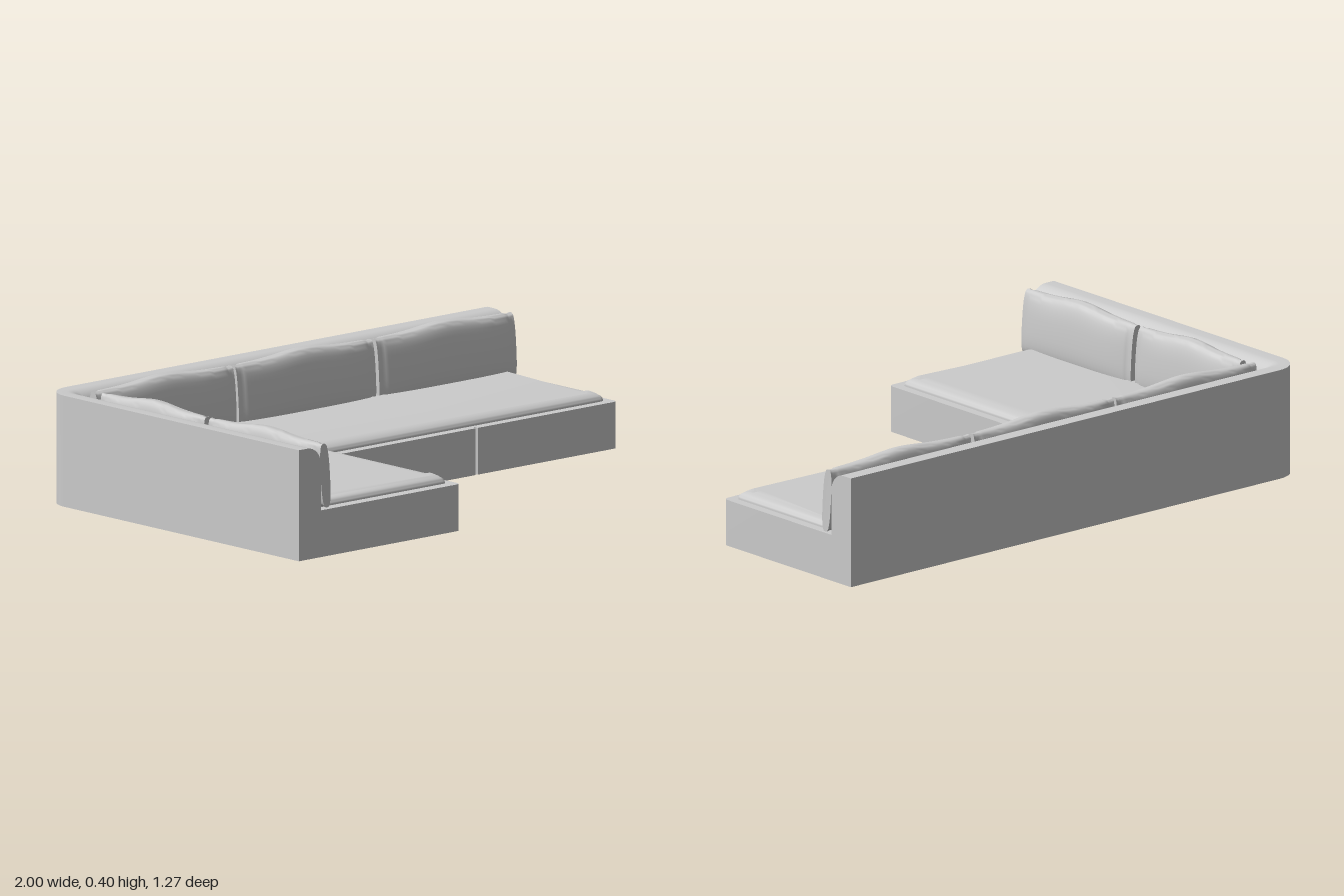
import * as THREE from 'three';
import { toCreasedNormals } from 'three/addons/utils/BufferGeometryUtils.js';

const material = new THREE.MeshStandardMaterial({ color: 0xcccccc, side: THREE.DoubleSide });

function add(parent, name, geometry, crease = 0.6) {
  const mesh = new THREE.Mesh(toCreasedNormals(geometry, crease), material);
  mesh.name = name;
  parent.add(mesh);
  return mesh;
}

// Surface through rows of points, all rows having the same count
function sheet(rows) {
  const n = rows[0].length, index = [];
  for (let i = 0; i < rows.length - 1; i++) {
    for (let j = 0; j < n - 1; j++) {
      const a = i * n + j, b = a + n;
      index.push(a, a + 1, b, b, a + 1, b + 1);
    }
  }
  const geometry = new THREE.BufferGeometry();
  geometry.setAttribute('position', new THREE.Float32BufferAttribute(rows.flat(2), 3));
  geometry.setIndex(index);
  return geometry;
}

// Plan outline (x, z) with rounded corners; each corner is [x, z, radius]
function roundedPlan(corners) {
  const shape = new THREE.Shape();
  corners.forEach(([x, z, r = 0], i) => {
    const p = new THREE.Vector2(x, z);
    const toward = ([qx, qz]) => new THREE.Vector2(qx, qz).sub(p).setLength(r).add(p);
    const a = toward(corners[(i + corners.length - 1) % corners.length]);
    const b = toward(corners[(i + 1) % corners.length]);
    if (i) shape.lineTo(a.x, a.y); else shape.moveTo(a.x, a.y);
    if (r) shape.quadraticCurveTo(x, z, b.x, b.y);
  });
  shape.closePath();
  return shape;
}

// Plump back pillow along x, leaning back a little, with pinched, corded ends
function pillowGeometry(length) {
  const rows = [], steps = 36, around = 36;
  const power = (v, e) => Math.sign(v) * Math.abs(v) ** e;
  for (let i = -1; i <= steps + 1; i++) {
    const u = THREE.MathUtils.clamp(Math.sin(((i / steps) - 0.5) * Math.PI), -1, 1);
    const closing = i < 0 || i > steps;
    const pinch = 0.006 * Math.exp(-(((Math.abs(u) - 0.95) / 0.025) ** 2));
    const depth = closing ? 0 : 0.021 + 0.019 * (1 - Math.abs(u) ** 3) - pinch;
    const crown = 0.016 * Math.exp(-((u / 0.42) ** 2));
    const half = 0.11 + crown / 2;
    const row = [];
    for (let j = 0; j <= around; j++) {
      const t = (j / around) * Math.PI * 2;
      const y = half + (closing ? 0 : half - pinch / 2) * power(Math.sin(t), 0.75);
      row.push([u * length / 2, y, depth * power(Math.cos(t), 0.62) - (y - half) * 0.07]);
    }
    rows.push(row);
  }
  return sheet(rows);
}

export function createModel() {
  const sofa = new THREE.Group();
  sofa.name = 'cornerSofa';
  const seatY = 0.16, end = 0.635, thick = 0.1;
  const innerX = -1 + thick, innerZ = -end + thick;

  // L-shaped base, open underneath, with a groove between the front panels
  const r = 0.02;
  const plan = roundedPlan([
    [innerX, innerZ], [1, innerZ], [1, 0.015, r],
    [0.369, 0.015], [0.364, -0.005], [0.359, 0.015],
    [-0.27, 0.015], [-0.27, end, r], [innerX, end],
  ]);
  // The walls leave out the two sides under the backrest
  const walls = plan.getPoints(5).filter(p => p.x > innerX + 0.001 || p.y > innerZ + 0.001);
  add(sofa, 'baseWalls', sheet([0, seatY].map(y => walls.map(p => [p.x, y, p.y]))));
  const deck = new THREE.ShapeGeometry(plan, 5).rotateX(Math.PI / 2).translate(0, seatY, 0);
  add(sofa, 'baseDeck', deck);

  // Joints between the modules, under the deck
  const joints = [
    [0.364, -0.26, 0.008, 0.53], [-0.27, -0.26, 0.008, 0.53], [-0.585, 0.02, 0.63, 0.008],
  ];
  for (const [x, z, width, depth] of joints) {
    const joint = new THREE.BoxGeometry(width, 0.01, depth);
    add(sofa, 'deckJoint', joint.translate(x, seatY - 0.005, z));
  }

  // Inner support below the deck
  const support = new THREE.BoxGeometry(0.06, seatY, 0.05);
  add(sofa, 'baseSupport', support.translate(-0.969, seatY / 2, 0.02));

  // Backrest: one profile (depth, height) swept round the corner
  const profile = [[0, 0], [0, 0.38], [0.038, 0.38]];
  for (let i = 1; i <= 8; i++) {
    const a = (i / 8) * Math.PI / 2;
    profile.push([0.038 + (thick - 0.038) * Math.sin(a), 0.315 + 0.065 * Math.cos(a)]);
  }
  profile.push([thick, seatY]);
  const backRows = profile.map(([d, y]) => {
    const row = [[1, y, -end + d]];
    for (let i = 0; i <= 12; i++) {
      const a = -Math.PI / 2 - (i / 12) * Math.PI / 2;
      row.push([innerX + (thick - d) * Math.cos(a), y, innerZ + (thick - d) * Math.sin(a)]);
    }
    row.push([-1 + d, y, end]);
    return row;
  });
  add(sofa, 'backrest', sheet(backRows));

  // Flat ends of the backrest
  const endShape = new THREE.Shape([...profile, [thick, 0]].map(([d, y]) => new THREE.Vector2(d, y)));
  const frontEnd = new THREE.ShapeGeometry(endShape).translate(-1, 0, end);
  add(sofa, 'backrestFrontEnd', frontEnd);
  const sideEnd = new THREE.ShapeGeometry(endShape).rotateY(-Math.PI / 2).translate(1, 0, -end);
  add(sofa, 'backrestSideEnd', sideEnd);

  // L-shaped seat cushion with soft edges, its underside flat on the deck
  const cushionPlan = roundedPlan([
    [innerX, innerZ], [0.97, innerZ, r], [0.97, -0.015, r],
    [-0.3, -0.015], [-0.3, 0.6, r], [innerX, 0.6, r],
  ]);
  const cushion = new THREE.ExtrudeGeometry(cushionPlan, {
    depth: 0.004, bevelThickness: 0.026, bevelSize: 0.06, bevelOffset: -0.06, bevelSegments: 8, curveSegments: 5,
  });
  cushion.rotateX(Math.PI / 2).translate(0, seatY + 0.005, 0);
  const points = cushion.attributes.position;
  for (let i = 0; i < points.count; i++) points.setY(i, Math.max(points.getY(i), seatY + 0.001));
  add(sofa, 'seatCushion', cushion, 0.7);

  // Back pillows along the back and along the side
  for (const x of [-0.58, 0.05, 0.684]) {
    add(sofa, 'backPillow', pillowGeometry(0.62), 1).position.set(x, seatY + 0.002, -0.505);
  }
  for (const [z, length] of [[-0.217, 0.516], [0.341, 0.558]]) {
    const pillow = add(sofa, 'sidePillow', pillowGeometry(length), 1);
    pillow.position.set(-0.867, seatY + 0.002, z);
    pillow.rotation.y = Math.PI / 2;
  }
  return sofa;
}
